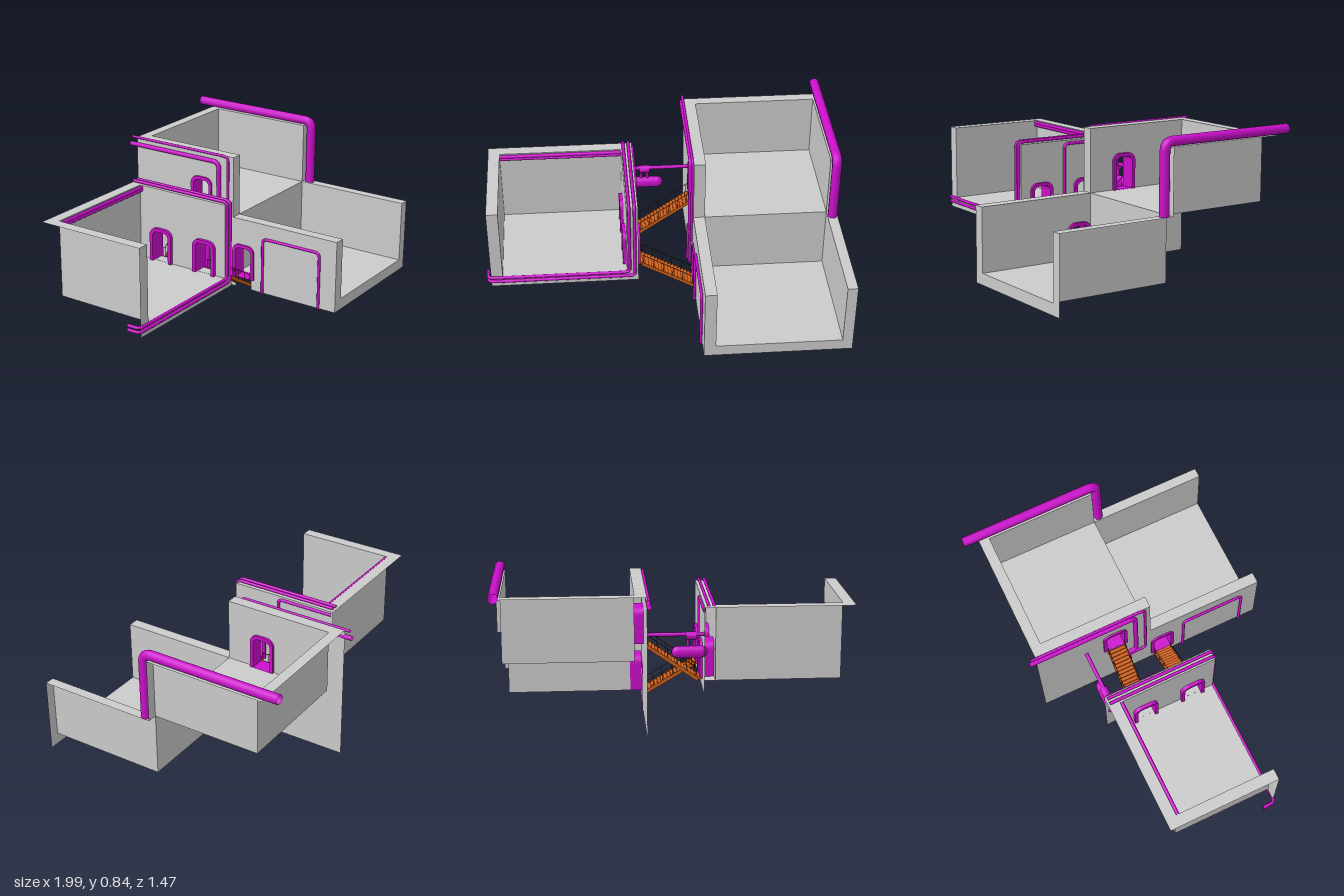
import * as THREE from 'three';

const mat = (color) => new THREE.MeshStandardMaterial({ color, side: THREE.DoubleSide });

export function createModel() {
  const model = new THREE.Group();
  const grey = mat(0xcccccc), magenta = mat(0xcc10cc), orange = mat(0xd0601a), dark = mat(0x4a2410);

  const add = (parent, name, geo, m) => {
    const mesh = new THREE.Mesh(geo, m);
    mesh.name = name;
    parent.add(mesh);
    return mesh;
  };
  const group = (name) => {
    const g = new THREE.Group();
    g.name = name;
    model.add(g);
    return g;
  };

  // Flat rectangle across one axis: spans are x,y for 'z', x,z for 'y', z,y for 'x'
  const panel = (parent, name, axis, pos, u0, u1, v0, v1) => {
    const geo = new THREE.PlaneGeometry(u1 - u0, v1 - v0);
    const u = (u0 + u1) / 2, v = (v0 + v1) / 2;
    if (axis === 'x') geo.rotateY(Math.PI / 2).translate(pos, v, u);
    else if (axis === 'y') geo.rotateX(-Math.PI / 2).translate(u, pos, v);
    else geo.translate(u, v, pos);
    return add(parent, name, geo, grey);
  };

  // Doorway outline with rounded shoulders, in (z, y)
  const arch = (cls, z, half, y0, y1, r) => {
    const s = new cls();
    s.moveTo(z - half, y0);
    s.lineTo(z + half, y0);
    s.lineTo(z + half, y1 - r);
    s.absarc(z + half - r, y1 - r, r, 0, Math.PI / 2);
    s.lineTo(z - half + r, y1);
    s.absarc(z - half + r, y1 - r, r, Math.PI / 2, Math.PI);
    s.lineTo(z - half, y0);
    return s;
  };

  // Side wall in the (z, y) plane with doorways
  const sideWall = (parent, name, x, pts, doors) => {
    const s = new THREE.Shape(pts.map(([z, y]) => new THREE.Vector2(z, y)));
    doors.forEach(([z, y0, y1]) => s.holes.push(arch(THREE.Path, z, 0.053, y0, y1, 0.03)));
    add(parent, name, new THREE.ShapeGeometry(s, 6).rotateY(-Math.PI / 2).translate(x, 0, 0), grey);
  };

  const doorFrame = (parent, x0, x1, z, y) => {
    const s = arch(THREE.Shape, z, 0.073, y, y + 0.205, 0.045);
    s.holes.push(arch(THREE.Path, z, 0.053, y + 0.0005, y + 0.185, 0.03));
    const geo = new THREE.ExtrudeGeometry(s, { depth: x1 - x0, bevelEnabled: false, curveSegments: 6 });
    add(parent, 'doorFrame', geo.rotateY(-Math.PI / 2).translate(x1, 0, 0), magenta);
  };

  // Tube through points with rounded corners
  const pipe = (parent, name, r, bend, pts, m = magenta) => {
    const p = pts.map((a) => new THREE.Vector3(...a));
    const path = new THREE.CurvePath();
    let from = p[0];
    for (let i = 1; i < p.length - 1; i++) {
      const a = p[i].clone().add(p[i - 1].clone().sub(p[i]).setLength(bend));
      const b = p[i].clone().add(p[i + 1].clone().sub(p[i]).setLength(bend));
      path.add(new THREE.LineCurve3(from, a));
      path.add(new THREE.QuadraticBezierCurve3(a, p[i], b));
      from = b;
    }
    path.add(new THREE.LineCurve3(from, p[p.length - 1]));
    add(parent, name, new THREE.TubeGeometry(path, p.length > 2 ? 100 : 1, r, 10), m);
  };

  const zUp = -0.18, zLow = 0.115; // doorway centres

  // Left room: inner shell, cut-edge rims and outer side wall
  const A = group('leftRoom');
  panel(A, 'floor', 'y', 0.23, -0.91, -0.15, -0.33, 0.25);
  panel(A, 'backWall', 'z', -0.33, -0.91, -0.215, 0.23, 0.66);
  panel(A, 'leftWall', 'x', -0.91, -0.33, 0.25, 0.23, 0.66);
  const doorsA = [[zUp, 0.231, 0.415], [zLow, 0.231, 0.415]];
  sideWall(A, 'rightWallInner', -0.215, [[-0.33, 0.23], [0.25, 0.23], [0.25, 0.66], [-0.33, 0.66]], doorsA);
  sideWall(A, 'rightWallOuter', -0.15, [[-0.395, 0.165], [0.25, 0.165], [0.25, 0.66], [-0.395, 0.66]], doorsA);
  panel(A, 'topRimLeft', 'y', 0.66, -0.975, -0.91, -0.395, 0.25);
  panel(A, 'topRimBack', 'y', 0.66, -0.91, -0.215, -0.395, -0.33);
  panel(A, 'topRimRight', 'y', 0.66, -0.215, -0.15, -0.395, 0.25);
  panel(A, 'frontRimLeft', 'z', 0.25, -0.975, -0.91, 0.165, 0.66);
  panel(A, 'frontRimBottom', 'z', 0.25, -0.91, -0.215, 0.165, 0.23);
  panel(A, 'frontRimRight', 'z', 0.25, -0.215, -0.15, 0.165, 0.66);

  // Right rooms: a low front room and a raised back room
  const B = group('rightRooms');
  const floorY = [0.065, 0.425], topY = [0.425, 0.785], backZ = [0.04, -0.59], frontZ = [0.73, 0.04];
  const doorZ = [zLow, zUp];
  for (let i = 0; i < 2; i++) {
    const y0 = floorY[i], y1 = topY[i], z0 = backZ[i], z1 = frontZ[i];
    const low = i === 0 ? 0 : y0;
    panel(B, 'floor', 'y', y0, 0.24, 0.935, z0, z1);
    panel(B, 'doorSill', 'y', y0, 0.175, 0.24, doorZ[i] - 0.053, doorZ[i] + 0.053);
    panel(B, 'backWall', 'z', z0, 0.24, 0.935, y0, y1);
    panel(B, 'rightWall', 'x', 0.935, z0, z1, y0, y1);
    sideWall(B, 'leftWallInner', 0.24, [[z0, y0], [z1, y0], [z1, y1], [z0, y1]], [[doorZ[i], y0 + 0.001, y0 + 0.185]]);
    panel(B, 'topRimLeft', 'y', y1, 0.175, 0.24, z0, z1);
    panel(B, 'topRimRight', 'y', y1, 0.935, 0.992, z0, z1);
    panel(B, 'frontRimLeft', 'z', z1, 0.175, 0.24, low, y1);
    panel(B, 'frontRimRight', 'z', z1, 0.935, 0.992, low, y1);
  }
  panel(B, 'frontRimBottom', 'z', 0.73, 0.24, 0.935, 0, 0.065);
  panel(B, 'topRimBack', 'y', 0.785, 0.175, 0.992, -0.65, -0.59);
  sideWall(B, 'leftWallOuter', 0.175,
    [[-0.65, 0], [0.73, 0], [0.73, 0.425], [0.04, 0.425], [0.04, 0.785], [-0.65, 0.785]],
    [[zLow, 0.001, 0.25], [zUp, 0.426, 0.61]]);

  // Door frames passing through the walls
  const frames = group('doorFrames');
  for (const z of [zUp, zLow]) doorFrame(frames, -0.235, -0.135, z, 0.225);
  doorFrame(frames, 0.165, 0.255, zUp, 0.425);
  doorFrame(frames, 0.165, 0.255, zLow, 0.065);

  // Pipes on the right rooms
  const P = group('pipes');
  pipe(P, 'largePipe', 0.027, 0.05, [[0.964, 0.425, 0.078], [0.964, 0.812, 0.078], [0.964, 0.812, -0.735]]);
  pipe(P, 'wallPipeThick', 0.013, 0.04,
    [[0.166, 0.742, -0.69], [0.166, 0.742, -0.055], [0.166, 0.265, -0.055], [0.166, 0.265, -0.132], [0.166, 0, -0.132]]);
  pipe(P, 'wallPipeThin', 0.008, 0.03,
    [[0.169, 0.785, -0.68], [0.169, 0.785, 0.006], [0.169, 0.22, 0.006], [0.169, 0.22, -0.095], [0.169, 0, -0.095]]);
  pipe(P, 'lowWallPipe', 0.008, 0.03, [[0.167, 0, 0.25], [0.167, 0.34, 0.25], [0.167, 0.34, 0.625], [0.167, 0, 0.625]]);

  // Pipes wrapping the left room
  [[-0.2, 0.225], [-0.17, 0.2]].forEach(([x, y]) =>
    pipe(P, 'edgePipe', 0.009, 0.025,
      [[-0.991, y, 0.18], [-0.991, y, 0.254], [x, y, 0.254], [x, 0.672, 0.254], [x, 0.672, -0.385]]));
  [0.632, 0.648].forEach((y) =>
    pipe(P, 'backWallPipe', 0.01, 0.02, [[-0.91, y, -0.32], [-0.215, y, -0.32]]));
  pipe(P, 'sidePipe', 0.009, 0.03, [[-0.148, 0.17, -0.04], [-0.148, 0.64, -0.04], [-0.148, 0.64, -0.385]]);

  // Pipe and tank bridging the gap
  const T = group('bridgeTank');
  pipe(T, 'bridgePipe', 0.011, 0.02, [[-0.15, 0.505, -0.358], [0.175, 0.505, -0.358]]);
  const tank = add(T, 'tank', new THREE.CapsuleGeometry(0.034, 0.13, 4, 16).rotateZ(Math.PI / 2), magenta);
  tank.position.set(-0.07, 0.405, -0.358);
  tank.scale.z = 0.75;
  for (const x of [-0.095, -0.06]) pipe(T, 'tankNeck', 0.008, 0.02, [[x, 0.42, -0.358], [x, 0.5, -0.358]]);
  add(T, 'valve', new THREE.CylinderGeometry(0.022, 0.022, 0.06, 12).rotateZ(Math.PI / 2), magenta)
    .position.set(-0.078, 0.497, -0.358);

  // Stairs with treads, stringers and railings
  const stairs = (name, z, x0, y0, x1, y1) => {
    const g = group(name);
    const n = 16, len = Math.hypot(x1 - x0, y1 - y0), ang = Math.atan2(y1 - y0, x1 - x0);
    const at = (t, dy, dz) => [x0 + (x1 - x0) * t, y0 + (y1 - y0) * t + dy, z + dz];
    for (let i = 0; i < n; i++)
      add(g, 'tread', new THREE.BoxGeometry(0.019, 0.01, 0.102), orange).position.set(...at((i + 0.5) / n, 0, 0));
    for (const s of [-0.05, 0.05]) {
      const bar = add(g, 'stringer', new THREE.BoxGeometry(len, 0.018, 0.006), orange);
      bar.position.set(...at(0.5, -0.006, s));
      bar.rotation.z = ang;
      pipe(g, 'handrail', 0.002, 0.01, [at(0, 0.058, s), at(1, 0.058, s)], dark);
      for (let i = 0; i <= 5; i++)
        pipe(g, 'railPost', 0.0015, 0.01, [at(0.03 + i * 0.185, 0, s), at(0.03 + i * 0.185, 0.058, s)], dark);
    }
    add(g, 'landing', new THREE.BoxGeometry(0.03, 0.012, 0.102), orange).position.set(x0 - 0.012, y0, z);
  };
  stairs('upperStairs', zUp, -0.125, 0.213, 0.165, 0.415);
  stairs('lowerStairs', zLow, -0.125, 0.213, 0.175, 0.035);

  return model;
}
